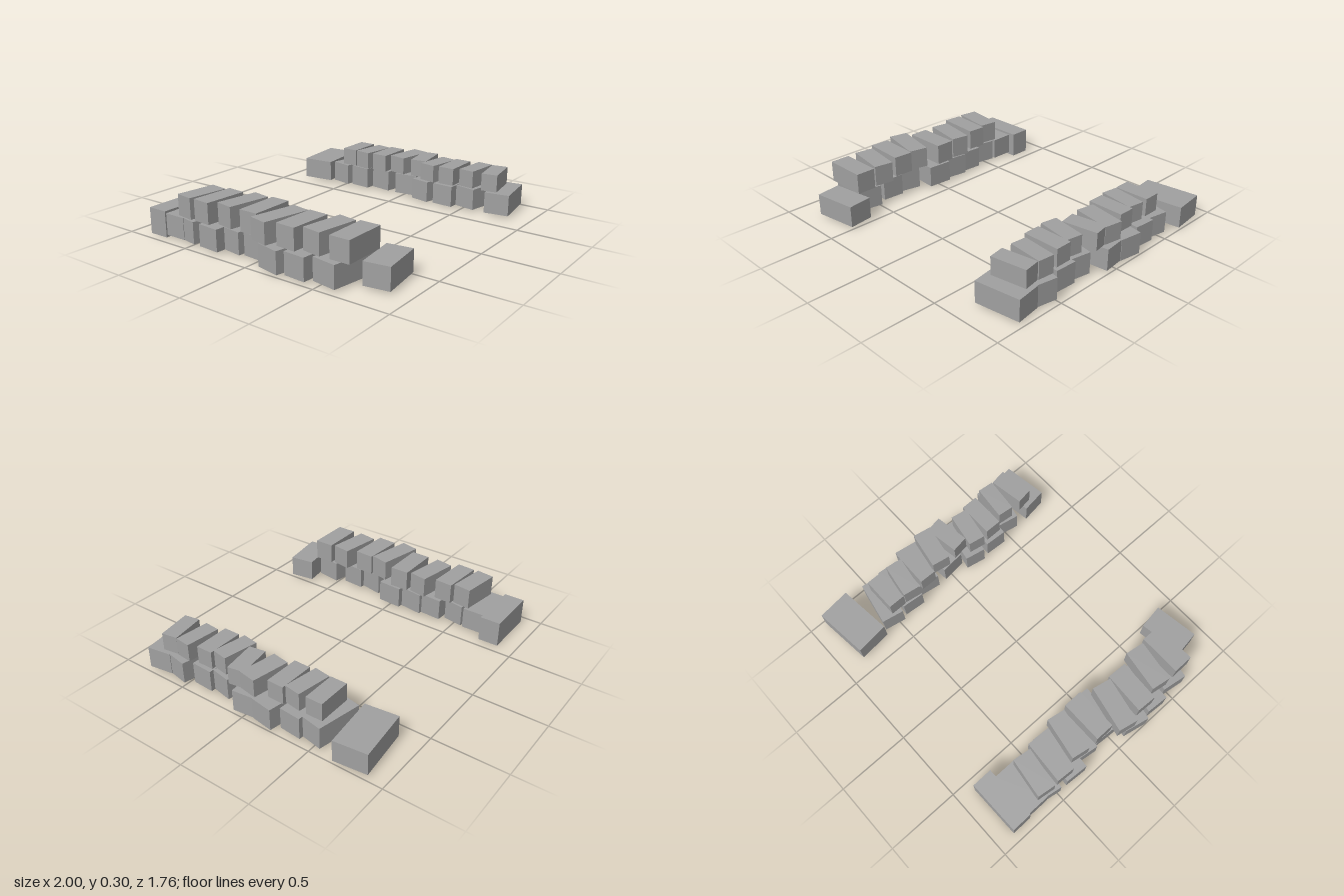
import * as THREE from 'three';

// Each brick: [x, z, width, depth, turn in degrees (positive turns +x towards the back)]
const rightLower = [
  [-0.775, -0.66, 0.31, 0.16, 0], [-0.785, -0.52, 0.3, 0.14, -10],
  [-0.78, -0.335, 0.34, 0.155, -4], [-0.75, -0.19, 0.3, 0.16, -8],
  [-0.74, -0.01, 0.31, 0.17, -4], [-0.825, 0.19, 0.32, 0.17, -12],
  [-0.815, 0.36, 0.32, 0.15, -4], [-0.79, 0.56, 0.32, 0.17, -9],
  [-0.665, 0.77, 0.3, 0.17, 8],
];
const rightUpper = [
  [-0.78, -0.56, 0.27, 0.125, -8], [-0.775, -0.415, 0.29, 0.125, -4],
  [-0.745, -0.24, 0.285, 0.125, -10], [-0.745, -0.065, 0.29, 0.13, 0],
  [-0.805, 0.105, 0.315, 0.13, -12], [-0.795, 0.265, 0.285, 0.135, -3],
  [-0.765, 0.44, 0.285, 0.13, -9], [-0.765, 0.615, 0.29, 0.135, 0],
];
const leftLower = [
  [0.8, -0.755, 0.37, 0.225, 6],
  [0.795, -0.505, 0.305, 0.15, -11], [0.8, -0.345, 0.31, 0.15, -5],
  [0.835, -0.17, 0.31, 0.155, -9], [0.83, 0.01, 0.3, 0.165, 6],
  [0.77, 0.21, 0.3, 0.14, -11], [0.775, 0.375, 0.31, 0.15, -3],
  [0.81, 0.55, 0.3, 0.15, -11], [0.81, 0.745, 0.305, 0.17, 8],
];
const leftUpper = [
  [0.78, -0.465, 0.235, 0.115, 0], [0.775, -0.325, 0.24, 0.115, -9],
  [0.785, -0.195, 0.245, 0.115, -1], [0.82, -0.035, 0.26, 0.125, -10],
  [0.82, 0.1, 0.24, 0.115, 9], [0.765, 0.245, 0.24, 0.115, -10],
  [0.775, 0.375, 0.25, 0.115, 0], [0.8, 0.53, 0.24, 0.11, -6],
  [0.8, 0.675, 0.24, 0.11, 9],
];

export function createModel() {
  const model = new THREE.Group();
  model.name = 'stoneBorders';
  const stone = new THREE.MeshStandardMaterial({ color: 0xa0a0a0 });
  stone.name = 'grey stone';

  // One course of loosely laid bricks between two heights
  function course(name, bricks, bottom, top) {
    const group = new THREE.Group();
    group.name = name;
    bricks.forEach(([x, z, w, d, turn], i) => {
      const brick = new THREE.Mesh(new THREE.BoxGeometry(w, top - bottom, d), stone);
      brick.name = `${name}Brick${i + 1}`;
      brick.position.set(x, (bottom + top) / 2, z);
      brick.rotation.y = THREE.MathUtils.degToRad(turn);
      group.add(brick);
    });
    model.add(group);
  }

  course('rightLowerCourse', rightLower, 0.015, 0.16);
  course('rightUpperCourse', rightUpper, 0.16, 0.3);
  course('leftLowerCourse', leftLower, 0.015, 0.16);
  course('leftUpperCourse', leftUpper, 0.16, 0.28);
  // Taller stone closing the back of the right border
  course('rightEndStone', [[-0.755, -0.805, 0.37, 0.14, 0.5]], 0, 0.175);
  return model;
}
